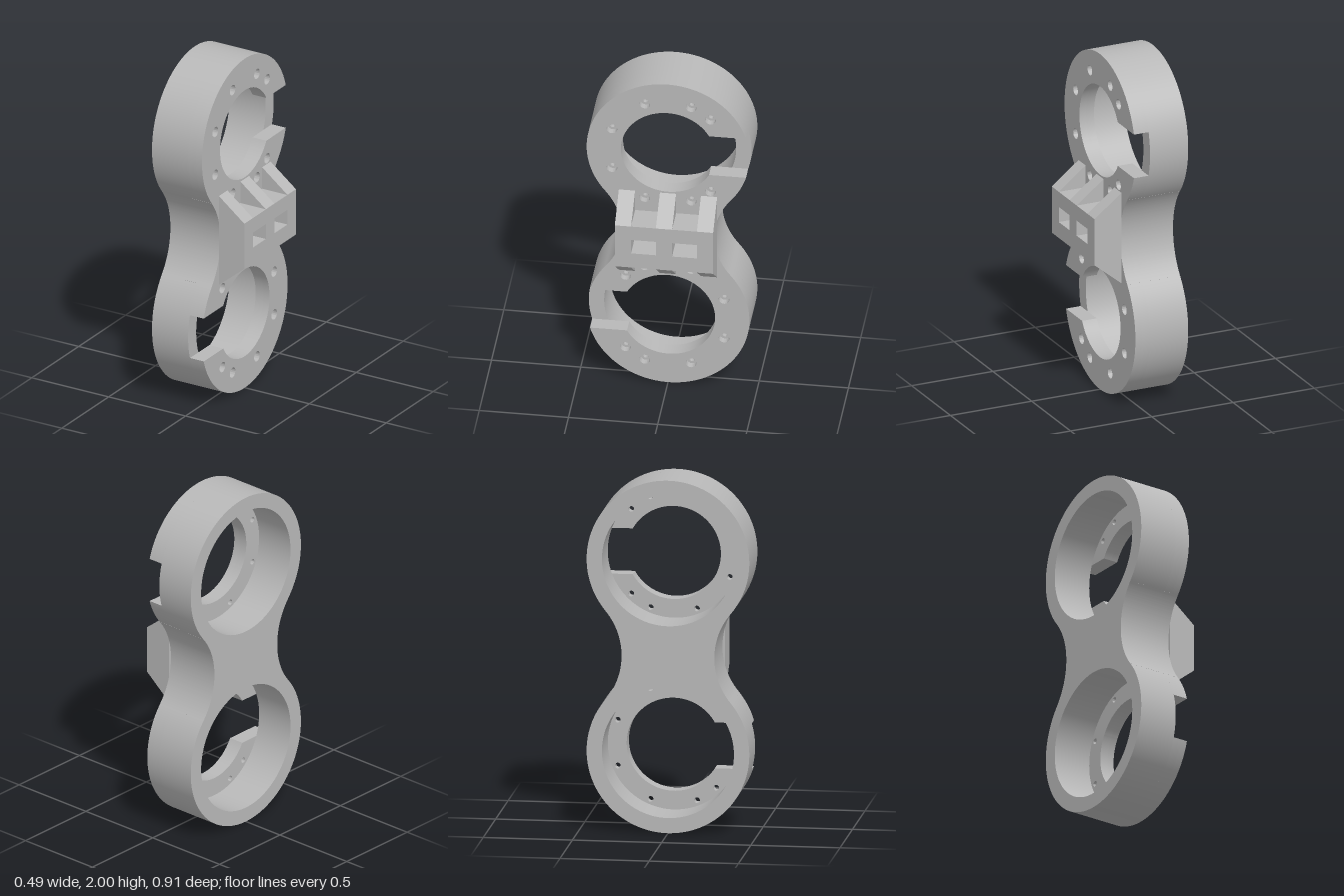
import * as THREE from 'three';
import { toCreasedNormals } from 'three/addons/utils/BufferGeometryUtils.js';

const PI = Math.PI;
const OFF = 0.544, LOBE = 0.456;            // lobe centres at y = 1 +/- OFF
const TOP = 1 + OFF, LOW = 1 - OFF;
const BORE = 0.37, HOLE = 0.264, NOTCH = 0.13;
const FILLET = 0.395, FILLET_U = 0.655;     // concave waist arcs
const BACK = -0.245, STEP = -0.01, SEAT = 0.04, FACE = 0.08, FRONT = 0.245;

const t = Math.atan2(OFF, FILLET_U);        // where lobe meets waist
const a = Math.asin(NOTCH / LOBE);          // notch corner on the rim
const b = Math.asin(NOTCH / HOLE);          // notch corner on the hole

// Figure-eight outline; when notched, it also runs around both open holes
function outline(notched) {
  const s = new THREE.Shape();
  if (notched) {
    s.absarc(0, TOP, LOBE, a, PI + t, false);
    s.absarc(-FILLET_U, 1, FILLET, t, -t, true);
    s.absarc(0, LOW, LOBE, PI - t, PI - a, false);
    s.absarc(0, LOW, HOLE, PI - b, b - PI, true);
    s.absarc(0, LOW, LOBE, PI + a, 2 * PI + t, false);
    s.absarc(FILLET_U, 1, FILLET, PI + t, PI - t, true);
    s.absarc(0, TOP, LOBE, -t, -a, false);
    s.absarc(0, TOP, HOLE, -b, b - 2 * PI, true);
  } else {
    s.absarc(0, TOP, LOBE, -t, PI + t, false);
    s.absarc(-FILLET_U, 1, FILLET, t, -t, true);
    s.absarc(0, LOW, LOBE, PI - t, 2 * PI + t, false);
    s.absarc(FILLET_U, 1, FILLET, PI + t, PI - t, true);
  }
  s.closePath();
  return s;
}

function addHole(shape, u, y, r) {
  shape.holes.push(new THREE.Path().absarc(u, y, r, 0, 2 * PI, true));
}

// Screw positions around the upper hole; the lower set is turned by 180 degrees
const SCREWS = [[0.13, 0.314], [0.238, 0.24], [0.238, -0.24], [0.13, -0.314],
  [-0.13, 0.314], [-0.13, -0.314], [-0.314, 0.13], [-0.314, -0.13]];

function addScrewHoles(shape, r) {
  for (const [u, v] of SCREWS) {
    addHole(shape, u, TOP + v, r);
    addHole(shape, -u, LOW - v, r);
  }
  return shape;
}

export function createModel() {
  const group = new THREE.Group();
  const grey = new THREE.MeshStandardMaterial({ color: 0xb8b8b8 });
  grey.name = 'plain grey';

  const add = (name, geometry) => {
    const mesh = new THREE.Mesh(geometry, grey);
    mesh.name = name;
    group.add(mesh);
    return mesh;
  };

  // Slab of the body between two x positions
  const slab = (name, shape, x0, x1, curveSegments) => {
    const g = new THREE.ExtrudeGeometry(shape, { depth: x1 - x0, bevelEnabled: false, curveSegments });
    g.rotateY(PI / 2).translate(x0, 0, 0);
    add(name, toCreasedNormals(g, 0.5));
  };

  // Deep shell with two wide bores
  const shell = outline(false);
  addHole(shell, 0, TOP, BORE);
  addHole(shell, 0, LOW, BORE);
  slab('boredShell', shell, BACK, STEP, 64);

  // Notched flange with counterbored screw holes
  slab('flangeInner', addScrewHoles(outline(true), 0.016), STEP, SEAT, 64);
  slab('flangeOuter', addScrewHoles(outline(true), 0.03), SEAT, FACE, 64);

  // Three tapered bracket ribs
  const rib = new THREE.Shape([[FACE, 0.73], [FRONT, 0.865], [FRONT, 1.14], [FACE, 1.27]]
    .map(([x, y]) => new THREE.Vector2(x, y)));
  for (const z of [-0.23, 0, 0.23]) {
    const g = new THREE.ExtrudeGeometry(rib, { depth: 0.091, bevelEnabled: false });
    add('bracketRib', g.translate(0, 0, z - 0.0455));
  }

  // Cross bars between the ribs, leaving a slot in each bay
  for (const z of [-0.115, 0.115]) {
    for (const [y0, y1] of [[0.865, 0.96], [1.05, 1.14]]) {
      add('bracketBar', new THREE.BoxGeometry(FRONT - FACE, y1 - y0, 0.139))
        .position.set((FACE + FRONT) / 2, (y0 + y1) / 2, z);
    }
  }
  return group;
}
